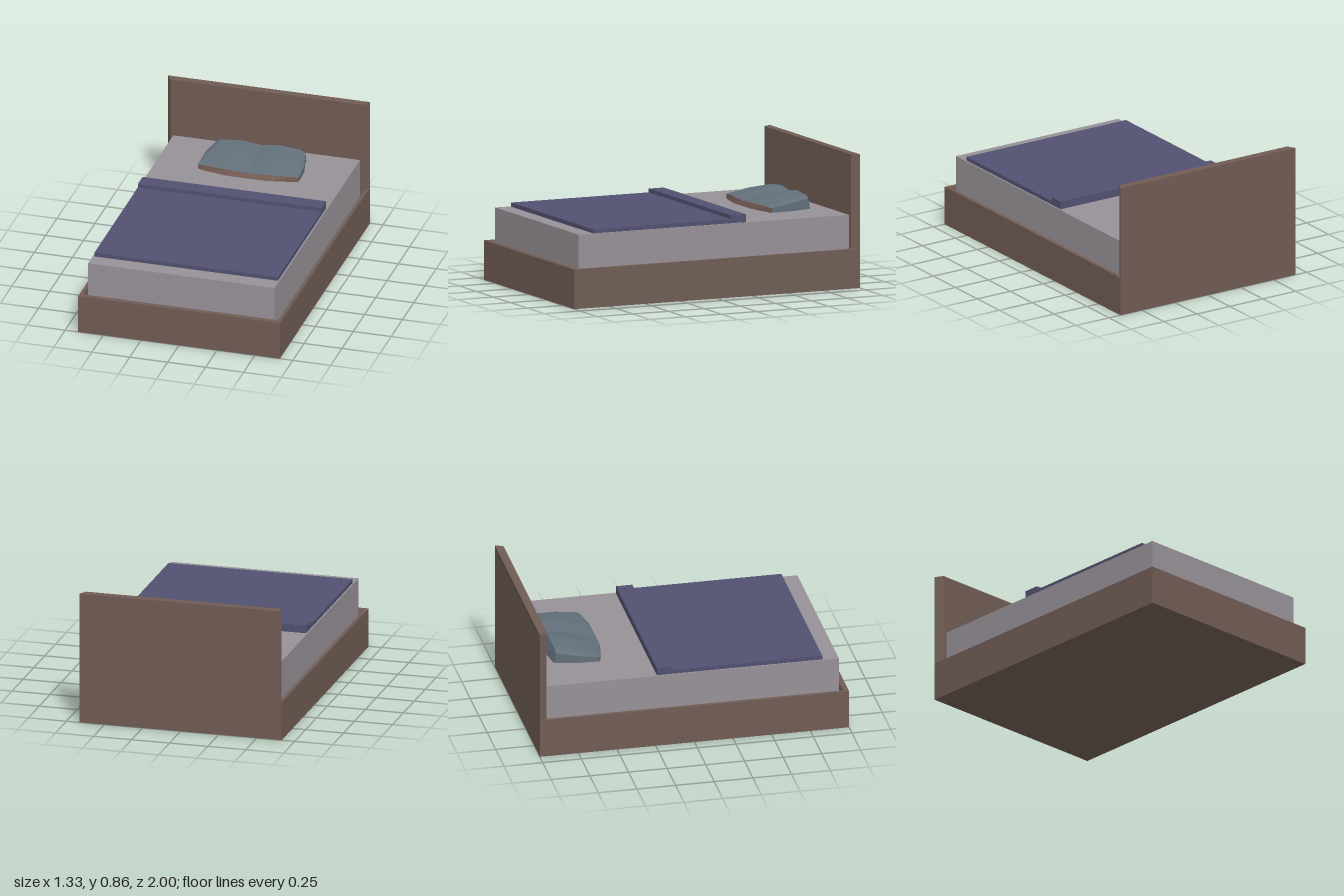
import * as THREE from 'three';

// Triangles (arrays of three corners) to a faceted geometry
function fromTriangles(tris) {
  const g = new THREE.BufferGeometry();
  g.setAttribute('position', new THREE.Float32BufferAttribute(tris.flat(2), 3));
  g.computeVertexNormals();
  return g;
}

// Skin a stack of four-cornered rings, closing the first and last
function skinRings(rings) {
  const tris = [];
  for (let j = 0; j < rings.length - 1; j++) {
    for (let i = 0; i < 4; i++) {
      const k = (i + 1) % 4;
      const a = rings[j][i], b = rings[j][k], c = rings[j + 1][k], d = rings[j + 1][i];
      tris.push([a, b, c], [a, c, d]);
    }
  }
  const f = rings[0], l = rings[rings.length - 1];
  tris.push([f[0], f[2], f[1]], [f[0], f[3], f[2]], [l[0], l[1], l[2]], [l[0], l[2], l[3]]);
  return fromTriangles(tris);
}

// Ring with its own front and back half widths
const ring = (y, frontX, backX, front, back) =>
  [[-frontX, y, front], [frontX, y, front], [backX, y, back], [-backX, y, back]];

export function createModel() {
  const model = new THREE.Group();
  model.name = 'bed';
  const material = (name, color, side = THREE.FrontSide) => {
    const m = new THREE.MeshStandardMaterial({ color, flatShading: true, side });
    m.name = name;
    return m;
  };
  const wood = material('wood', 0x705c55);
  const sheet = material('sheet', 0x979197);
  const blanket = material('blanket', 0x525170);
  const pillowCloth = material('pillowCloth', 0x626f79, THREE.DoubleSide);
  const pillowTrim = material('pillowTrim', 0x775e54, THREE.DoubleSide);

  const add = (name, geometry, mat) => {
    const mesh = new THREE.Mesh(geometry, mat);
    mesh.name = name;
    model.add(mesh);
  };
  const box = (name, mat, halfX, y0, y1, z0, z1) => {
    const g = new THREE.BoxGeometry(halfX * 2, y1 - y0, z1 - z0);
    g.translate(0, (y0 + y1) / 2, (z0 + z1) / 2);
    add(name, g, mat);
  };

  // Hollow base with a thin rim and sloping inner walls
  add('bedFrame', skinRings([
    ring(0, 0.665, 0.665, 1, -1),
    ring(0.252, 0.665, 0.665, 1, -1),
    ring(0.252, 0.642, 0.642, 0.965, -0.95),
    ring(0.13, 0.62, 0.62, 0.95, -0.945),
  ]), wood);

  // Headboard, tapering to the front
  add('headboard', skinRings([
    ring(0.252, 0.636, 0.665, -0.949, -1),
    ring(0.855, 0.636, 0.665, -0.949, -1),
  ]), wood);

  box('mattress', sheet, 0.615, 0.13, 0.465, -0.945, 0.945);
  box('blanket', blanket, 0.605, 0.465, 0.491, -0.125, 0.84);
  box('blanketFold', blanket, 0.605, 0.465, 0.515, -0.23, -0.125);

  // Pillow: rows run front to back as [z, half width, height, bow of the row]
  const base = 0.464;
  const rows = [
    [-0.49, 0.33, base, -0.05],
    [-0.502, 0.332, 0.502, -0.038],
    [-0.68, 0.327, 0.543, 0],
    [-0.82, 0.295, 0.56, 0.005],
    [-0.855, 0.298, base, 0.03],
  ];
  // Columns as [fraction of width, drop below the row height]
  const columns = [
    [-1, 1], [-1, 0.028], [-0.88, 0.012], [-0.4, 0], [0, 0.015],
    [0.4, 0], [0.88, 0.012], [1, 0.028], [1, 1],
  ];
  const pillowPoint = (i, j) => {
    const [z, w, y, bow] = rows[j];
    const [u, drop] = columns[i];
    const fall = j === 1 ? drop * 0.3 : drop;
    return [u * w, Math.max(base, y - (drop === 1 ? 1 : fall)), z + bow * Math.abs(u) ** 3];
  };
  const pillowStrip = (j0, j1) => {
    const tris = [];
    for (let j = j0; j < j1; j++) {
      for (let i = 0; i < columns.length - 1; i++) {
        const a = pillowPoint(i, j), b = pillowPoint(i + 1, j);
        const c = pillowPoint(i + 1, j + 1), d = pillowPoint(i, j + 1);
        tris.push([a, b, c], [a, c, d]);
      }
    }
    return fromTriangles(tris);
  };
  add('pillowFrontBand', pillowStrip(0, 1), pillowTrim);
  add('pillow', pillowStrip(1, rows.length - 1), pillowCloth);

  return model;
}
